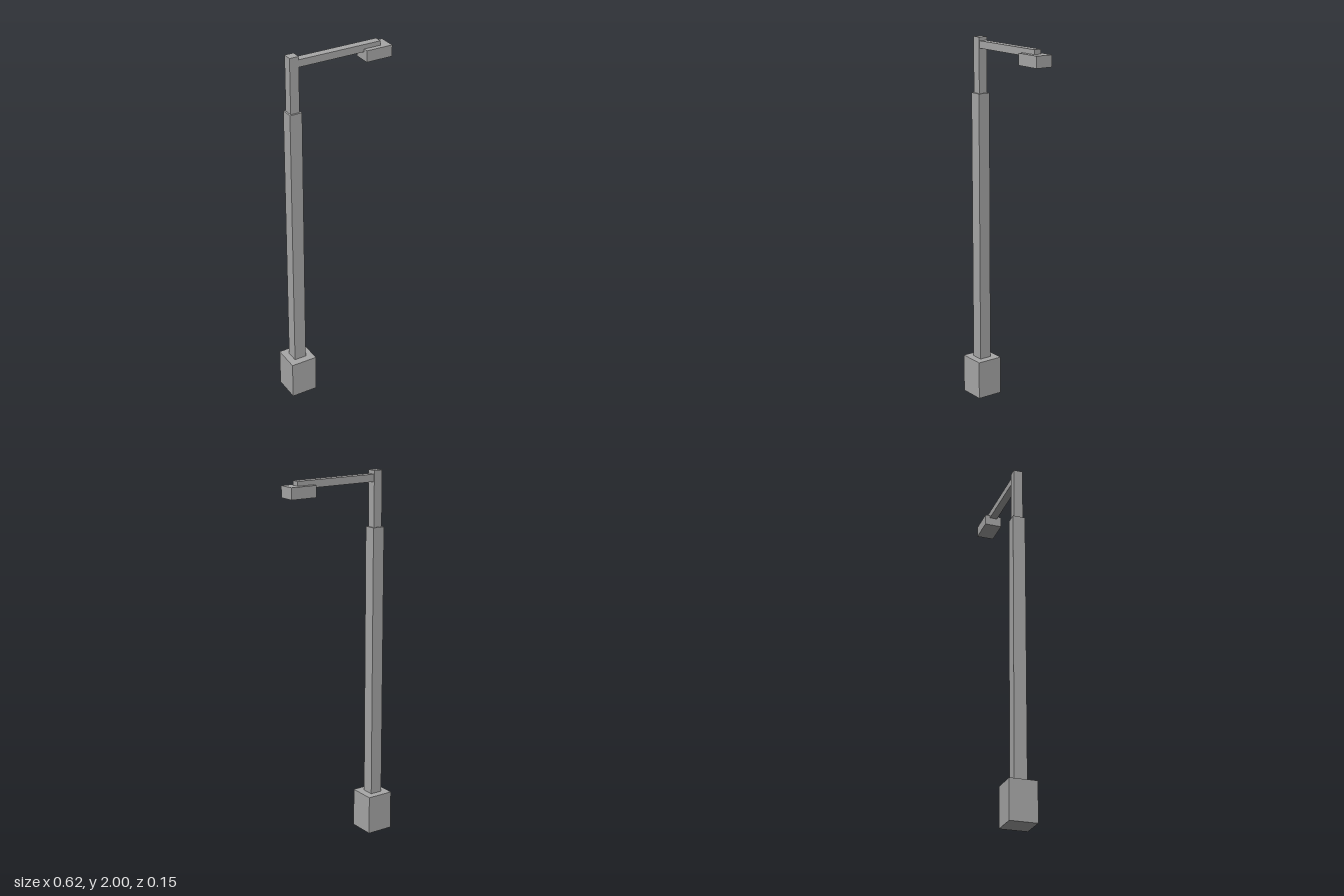
import * as THREE from 'three';

export function createModel() {
  const group = new THREE.Group();
  group.name = 'streetLight';
  const greyMetal = new THREE.MeshStandardMaterial({ color: 0xa8a8a8 });
  greyMetal.name = 'greyMetal';

  // Box spanning x0..x1 and y0..y1, centred on z = 0
  function addBox(name, x0, x1, y0, y1, depth) {
    const mesh = new THREE.Mesh(new THREE.BoxGeometry(x1 - x0, y1 - y0, depth), greyMetal);
    mesh.position.set((x0 + x1) / 2, (y0 + y1) / 2, 0);
    mesh.name = name;
    group.add(mesh);
  }

  // Square post, stepping in towards the top
  addBox('base', -0.308, -0.16, 0, 0.213, 0.148);
  addBox('lowerPole', -0.27, -0.202, 0.213, 1.704, 0.068);
  addBox('upperPole', -0.261, -0.211, 1.704, 2, 0.05);

  // Horizontal arm with the lamp housing at its end
  addBox('arm', -0.211, 0.255, 1.942, 1.981, 0.042);
  addBox('lampHead', 0.16, 0.308, 1.896, 1.957, 0.095);

  return group;
}
